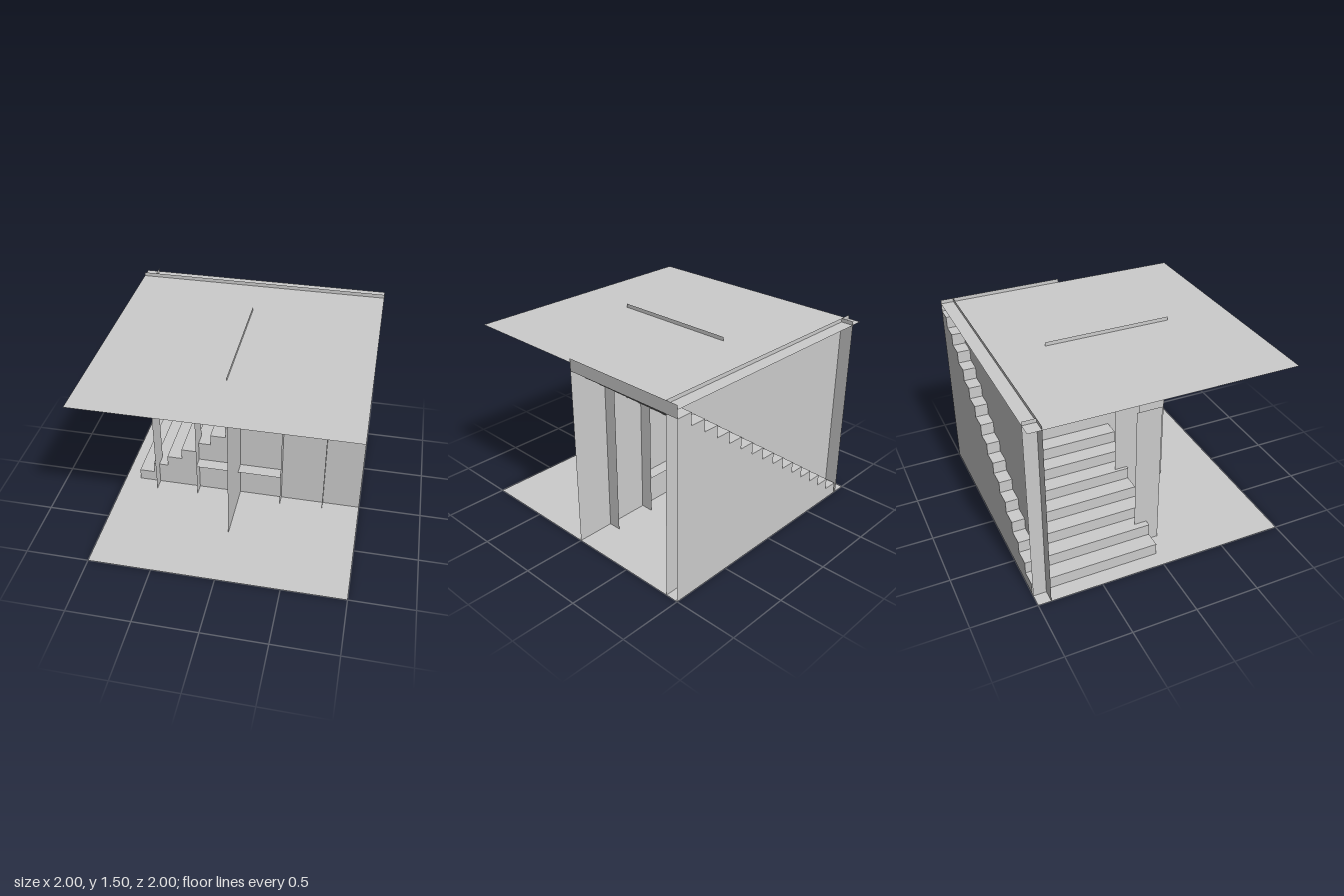
import * as THREE from 'three';

const material = new THREE.MeshStandardMaterial({ color: 0xcccccc, side: THREE.DoubleSide, flatShading: true });

const STEPS = 16, RUN = 0.125, RISE = 1.5 / STEPS, START = -0.875;

function add(parent, name, geometry) {
  const mesh = new THREE.Mesh(geometry, material);
  mesh.name = name;
  parent.add(mesh);
  return mesh;
}

// Thin panels, each lying at a constant x, y or z
function panelX(parent, name, x, z0, z1, y0, y1) {
  const g = new THREE.PlaneGeometry(z1 - z0, y1 - y0).rotateY(Math.PI / 2);
  add(parent, name, g).position.set(x, (y0 + y1) / 2, (z0 + z1) / 2);
}
function panelY(parent, name, y, x0, x1, z0, z1) {
  const g = new THREE.PlaneGeometry(x1 - x0, z1 - z0).rotateX(-Math.PI / 2);
  add(parent, name, g).position.set((x0 + x1) / 2, y, (z0 + z1) / 2);
}
function panelZ(parent, name, z, x0, x1, y0, y1) {
  const g = new THREE.PlaneGeometry(x1 - x0, y1 - y0);
  add(parent, name, g).position.set((x0 + x1) / 2, (y0 + y1) / 2, z);
}

function createStaircase() {
  const stairs = new THREE.Group();
  stairs.name = 'staircase';

  // Risers and treads, with the sawtooth outline of the sides
  const outline = new THREE.Shape().moveTo(START, 0);
  for (let i = 0; i < STEPS; i++) {
    const x = START + i * RUN, y = i * RISE;
    panelX(stairs, 'riser', x, -1, 0, y, y + RISE);
    if (i < STEPS - 1) {
      panelY(stairs, 'tread', y + RISE, x, x + RUN, -1, 0);
      outline.lineTo(x, y + RISE).lineTo(x + RUN, y + RISE);
    }
  }
  outline.lineTo(1, 0).closePath();

  // Stepped side walls
  for (const z of [-1, 0]) add(stairs, 'stairSide', new THREE.ShapeGeometry(outline)).position.z = z;
  return stairs;
}

export function createModel() {
  const model = new THREE.Group();
  model.name = 'stairRoom';

  panelY(model, 'floor', 0, -1, 1, -1, 1);
  panelY(model, 'ceiling', 1.47, -1, 1, -1, 1);

  // Walls rise slightly above the ceiling
  panelZ(model, 'backWall', -0.9, -1, 1, 0, 1.5);
  panelX(model, 'middleWall', 0, -0.5, 0.5, 0, 1.5);
  panelX(model, 'backFin', -0.9, -1, -0.9, 0, 1.5);

  model.add(createStaircase());

  // Upright posts and the shelf between the inner pair
  for (const x of [-0.7, -0.35, 0.35, 0.7]) panelX(model, 'post', x, -0.1, 0.1, 0, 1.2);
  panelY(model, 'shelf', 0.3, -0.35, 0.35, -0.1, 0.1);

  return model;
}
